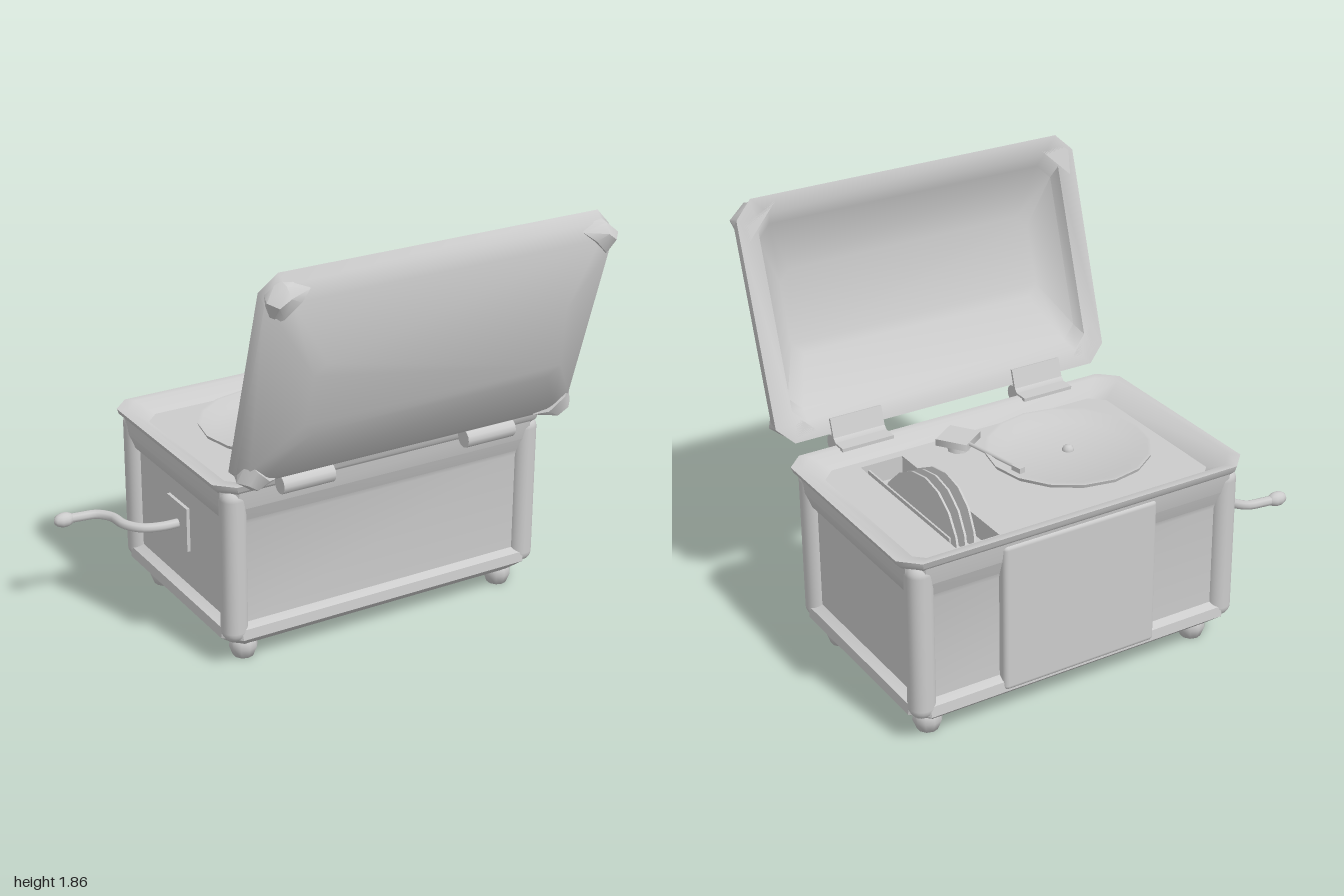
import * as THREE from 'three';
import { toCreasedNormals } from 'three/addons/utils/BufferGeometryUtils.js';
import { RoundedBoxGeometry } from 'three/addons/geometries/RoundedBoxGeometry.js';
import { ConvexGeometry } from 'three/addons/geometries/ConvexGeometry.js';

const mat = new THREE.MeshStandardMaterial({ color: 0xcccccc });

function add(parent, name, geo, x = 0, y = 0, z = 0) {
  const m = new THREE.Mesh(geo, mat);
  m.name = name;
  m.position.set(x, y, z);
  parent.add(m);
  return m;
}

// Lofts chamfered rectangles; each ring is [y, insetX, insetZ, chamfer] inside a base rectangle
function loft(rect, rings, capStart, capEnd, crease = 0.75) {
  const [X0, X1, Z0, Z1] = rect;
  const loops = rings.map(([y, ix, iz, c]) => {
    const x0 = X0 + ix, x1 = X1 - ix, z0 = Z0 + iz, z1 = Z1 - iz;
    return [[x1, z1 - c], [x1, z0 + c], [x1 - c, z0], [x0 + c, z0],
      [x0, z0 + c], [x0, z1 - c], [x0 + c, z1], [x1 - c, z1]].map(([x, z]) => [x, y, z]);
  });
  const pos = [];
  const tri = (a, b, c) => pos.push(...a, ...b, ...c);
  for (let r = 0; r + 1 < loops.length; r++) {
    for (let i = 0; i < 8; i++) {
      const j = (i + 1) % 8, p = loops[r], q = loops[r + 1];
      tri(p[i], p[j], q[j]);
      tri(p[i], q[j], q[i]);
    }
  }
  const first = loops[0], last = loops[loops.length - 1];
  for (let i = 1; i < 7; i++) {
    if (capStart) tri(first[0], first[i + 1], first[i]);
    if (capEnd) tri(last[0], last[i], last[i + 1]);
  }
  const g = new THREE.BufferGeometry();
  g.setAttribute('position', new THREE.Float32BufferAttribute(pos, 3));
  return toCreasedNormals(g, crease);
}

export function createModel() {
  const model = new THREE.Group();
  model.name = 'portableRecordPlayer';

  // Case with recessed sides
  add(model, 'case', loft([-0.58, 0.96, -0.71, 0.28], [
    [0.075, 0.07, 0.07, 0.04], [0.135, 0, 0, 0.07], [0.18, 0.005, 0.005, 0.06], [0.2, 0.045, 0.035, 0.05],
    [0.65, 0.045, 0.035, 0.05], [0.67, 0.025, 0.03, 0.05], [0.73, 0.005, 0.01, 0.05], [0.81, 0, 0, 0.06]],
  true, false));

  // Raised middle panel on the back
  add(model, 'backPanel', new RoundedBoxGeometry(0.72, 0.66, 0.08, 2, 0.02), 0.2, 0.47, -0.677);

  // Corner posts, feet and the runners between the feet
  for (const sx of [-1, 1]) {
    for (const sz of [-1, 1]) {
      add(model, 'cornerPost', new RoundedBoxGeometry(0.11, 0.7, 0.11, 3, 0.05),
        0.19 + sx * 0.715, 0.47, -0.215 + sz * 0.44);
      const foot = [[0, 0], [0.045, 0], [0.062, 0.045], [0.055, 0.08], [0.03, 0.1]]
        .map(([r, y]) => new THREE.Vector2(r, y));
      add(model, 'foot', new THREE.LatheGeometry(foot, 10), 0.195 + sx * 0.645, 0, -0.21 + sz * 0.37);
    }
    add(model, 'runner', new THREE.BoxGeometry(0.05, 0.035, 0.74), 0.195 + sx * 0.645, 0.067, -0.21);
  }

  // Rim that steps out over the case and falls to the deck
  add(model, 'rim', loft([-0.615, 1, -0.73, 0.3], [
    [0.8, 0.035, 0.03, 0.06], [0.825, 0.01, 0.005, 0.07], [0.85, 0, 0, 0.075],
    [0.85, 0.035, 0.035, 0.075], [0.79, 0.12, 0.09, 0.06]], false, false, 0.9));

  // Deck with an opening for the records
  const slot = [0.515, 0.71, -0.605, 0.17];
  const points = (list) => list.map(([x, y]) => new THREE.Vector2(x, y));
  const deck = new THREE.Shape(points([[-0.51, -0.22], [0.9, -0.22], [0.9, 0.655], [-0.51, 0.655]]));
  deck.holes.push(new THREE.Path(points([[slot[0], -slot[3]], [slot[0], -slot[2]],
    [slot[1], -slot[2]], [slot[1], -slot[3]]])));
  const deckGeo = new THREE.ExtrudeGeometry(deck, { depth: 0.02, bevelEnabled: false });
  add(model, 'deck', deckGeo.rotateX(-Math.PI / 2), 0, 0.772, 0);
  add(model, 'recordWell', loft(slot, [[0.79, 0, 0, 0], [0.7, 0, 0, 0]], false, true));

  // Stored records, leaning, and an upright divider
  [[0.6, 0.24], [0.635, 0.2], [0.665, 0.15]].forEach(([x, lean]) => {
    const rec = add(model, 'storedRecord', new THREE.CylinderGeometry(0.335, 0.335, 0.01, 20), x, 0.56, -0.21);
    rec.rotation.z = Math.PI / 2 + lean;
  });
  add(model, 'recordDivider', new THREE.BoxGeometry(0.008, 0.4, 0.66), 0.698, 0.6, -0.21);

  // Platter with a shallow dish and a spindle
  const platter = points([[0, 0.78], [0.24, 0.785], [0.345, 0.835], [0.35, 0.85], [0.335, 0.85],
    [0.27, 0.822], [0, 0.83]]);
  add(model, 'platter', toCreasedNormals(new THREE.LatheGeometry(platter, 16), 0.8), -0.06, 0, -0.21);
  add(model, 'spindle', new THREE.SphereGeometry(0.026, 10, 6), -0.06, 0.828, -0.21);

  // Tone arm
  const arm = new THREE.Group();
  arm.name = 'toneArm';
  model.add(arm);
  const head = add(arm, 'armBase', new THREE.CylinderGeometry(0.1, 0.1, 0.03, 4), 0.285, 0.842, 0.1);
  head.rotation.y = -0.18;
  add(arm, 'armPost', new THREE.CylinderGeometry(0.04, 0.05, 0.06, 8), 0.285, 0.81, 0.1);
  const rod = new THREE.LineCurve3(new THREE.Vector3(0.28, 0.85, 0.03), new THREE.Vector3(0.222, 0.85, -0.26));
  add(arm, 'armRod', new THREE.TubeGeometry(rod, 1, 0.008, 6));
  add(arm, 'needleHead', new THREE.BoxGeometry(0.03, 0.025, 0.05), 0.22, 0.848, -0.27).rotation.y = 0.2;

  // Open lid: local y points outward, local -z runs from the hinge to the free edge
  const lid = new THREE.Group();
  lid.name = 'lid';
  lid.position.set(0, 0.87, 0.33);
  lid.rotation.x = 1.871;
  model.add(lid);
  add(lid, 'lidShell', loft([-0.61, 0.995, -1.038, -0.02], [
    [0.15, 0.2, 0.33, 0.05], [0.055, 0.1, 0.12, 0.06], [0, 0.085, 0.075, 0.06], [0, 0, 0, 0.075],
    [0.05, 0.005, 0.025, 0.075], [0.09, 0.04, 0.08, 0.06], [0.168, 0.2, 0.34, 0.05]], true, true, 1));

  // Corner guards on the lid: faceted caps given by distances from the corner
  const guard = [[0, 0.02, 0.075], [0, 0.075, 0.02], [0, 0.18, 0.03], [0, 0.03, 0.18],
    [0.07, 0, 0.075], [0.07, 0.075, 0.015], [0.07, 0.18, 0.045], [0.07, 0.035, 0.18],
    [0.11, 0.035, 0.08], [0.11, 0.08, 0.045], [0.105, 0.13, 0.075], [0.105, 0.065, 0.14]];
  for (const sx of [-1, 1]) {
    for (const sz of [-1, 1]) {
      const caps = guard.map(([y, a, b]) =>
        new THREE.Vector3(0.1925 + sx * (0.8025 - a), y, -0.529 + sz * (0.509 - b)));
      add(lid, 'lidCorner', toCreasedNormals(new ConvexGeometry(caps), 0.9));
    }
    // Hinges
    const hx = 0.192 + sx * 0.442;
    const pin = add(model, 'hingePin', new THREE.CylinderGeometry(0.04, 0.04, 0.24, 12), hx, 0.84, 0.34);
    pin.rotation.z = Math.PI / 2;
    add(model, 'hingeLeaf', new THREE.BoxGeometry(0.24, 0.015, 0.1), hx, 0.851, 0.29);
    add(lid, 'lidHingeLeaf', new THREE.BoxGeometry(0.24, 0.015, 0.1), hx, -0.004, -0.035);
  }

  // Crank with mounting plate and knob
  const crank = new THREE.Group();
  crank.name = 'crank';
  model.add(crank);
  add(crank, 'crankPlate', new THREE.BoxGeometry(0.03, 0.2, 0.18), -0.535, 0.47, -0.23);
  const path = new THREE.CatmullRomCurve3([[-0.53, -0.225], [-0.62, -0.23], [-0.7, -0.26], [-0.75, -0.33],
    [-0.765, -0.42], [-0.81, -0.475], [-0.88, -0.49], [-0.96, -0.5]]
    .map(([x, z]) => new THREE.Vector3(x, 0.47, z)));
  add(crank, 'crankRod', new THREE.TubeGeometry(path, 28, 0.021, 8));
  add(crank, 'crankKnob', new THREE.SphereGeometry(0.032, 10, 8), -0.952, 0.47, -0.497).scale.set(1.5, 1, 1);

  return model;
}
